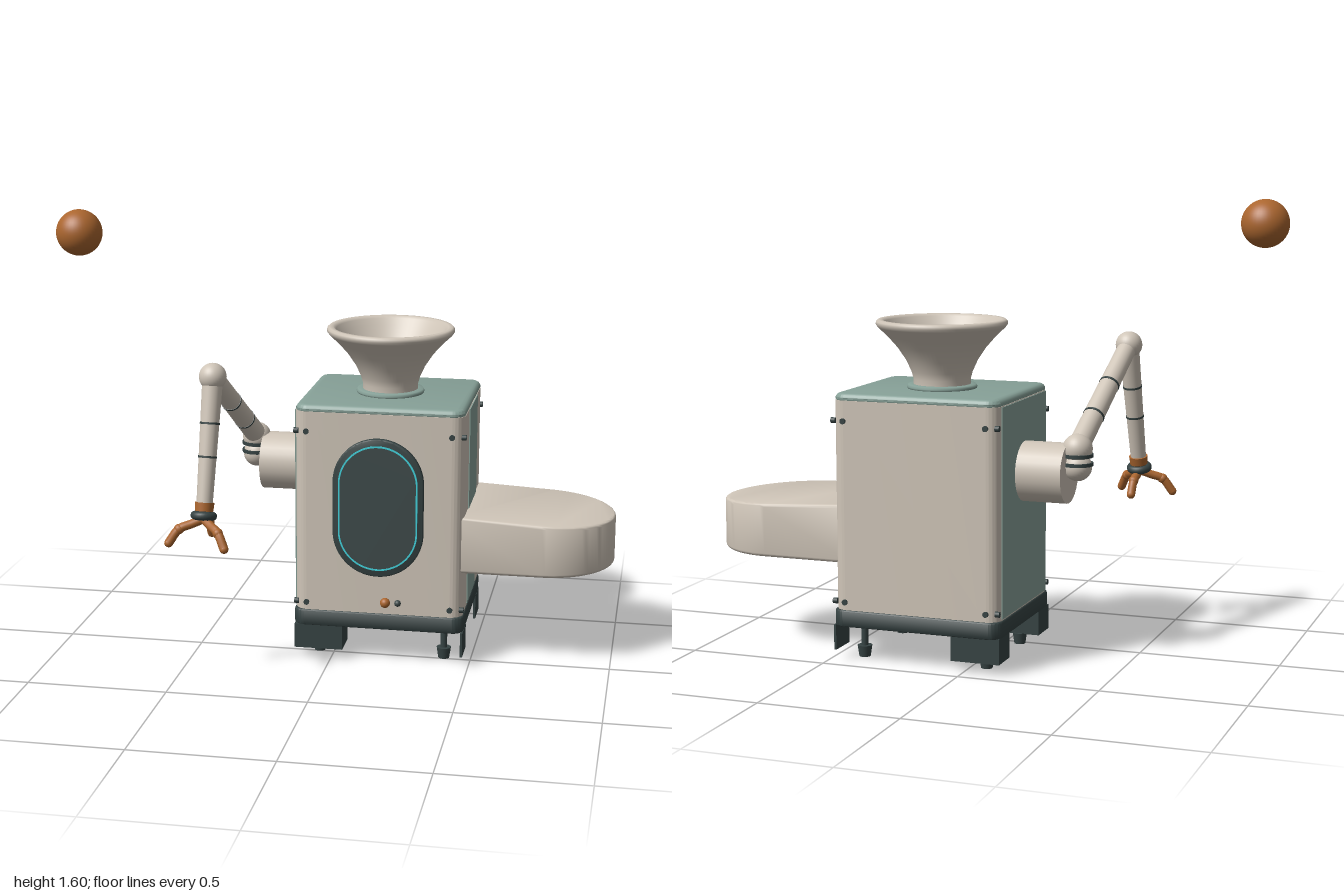
import * as THREE from 'three';
import { toCreasedNormals } from 'three/addons/utils/BufferGeometryUtils.js';

const material = (name, color, side = THREE.FrontSide) => {
  const m = new THREE.MeshStandardMaterial({ color, side });
  m.name = name;
  return m;
};

export function createModel() {
  const root = new THREE.Group();
  root.name = 'roboticMachine';
  const cream = material('cream', 0xcfc5b8, THREE.DoubleSide);
  const teal = material('sageTeal', 0x87a198);
  const dark = material('darkSlate', 0x364343);
  const glass = material('darkGlass', 0x3e4a4a);
  const brown = material('copperBrown', 0xab662f, THREE.DoubleSide);
  const cyan = material('cyan', 0x42d4de);

  const add = (name, geo, mat, x = 0, y = 0, z = 0, parent = root) => {
    const mesh = new THREE.Mesh(geo, mat);
    mesh.name = name;
    mesh.position.set(x, y, z);
    parent.add(mesh);
    return mesh;
  };
  const box = (name, w, h, d, mat, x, y, z) => add(name, new THREE.BoxGeometry(w, h, d), mat, x, y, z);

  // Rounded rectangle centred on the origin
  const roundRect = (w, h, r, Type = THREE.Shape) => {
    const s = new Type(), a = w / 2 - r, b = h / 2 - r;
    s.absarc(a, b, r, 0, Math.PI / 2);
    s.absarc(-a, b, r, Math.PI / 2, Math.PI);
    s.absarc(-a, -b, r, Math.PI, Math.PI * 1.5);
    s.absarc(a, -b, r, Math.PI * 1.5, Math.PI * 2);
    s.closePath();
    return s;
  };
  // Extrusion with the bevel kept inside the given outline and height
  const extrude = (shape, h, bevel = 0, up = true) => {
    const g = new THREE.ExtrudeGeometry(shape, {
      depth: h - 2 * bevel, bevelEnabled: bevel > 0, bevelSize: bevel, bevelThickness: bevel,
      bevelOffset: -bevel, bevelSegments: 4, curveSegments: 24,
    });
    g.translate(0, 0, bevel);
    if (up) g.rotateX(-Math.PI / 2);
    return toCreasedNormals(g, 0.6);
  };
  // Cylinder between two points
  const rod = (name, a, b, r0, r1, mat) => {
    const d = b.clone().sub(a);
    const m = add(name, new THREE.CylinderGeometry(r1, r0, d.length(), 28), mat);
    m.position.copy(a).add(b).multiplyScalar(0.5);
    m.quaternion.setFromUnitVectors(new THREE.Vector3(0, 1, 0), d.normalize());
    return m;
  };
  const V = (x, y, z) => new THREE.Vector3(x, y, z);
  const CX = 0.172, CZ = -0.19;

  // Cabinet
  add('cabinet', extrude(roundRect(0.605, 0.535, 0.045), 0.735), cream, CX, 0.183, CZ);
  add('cabinetTop', extrude(roundRect(0.605, 0.535, 0.045), 0.035, 0.02), teal, CX, 0.907, CZ);
  box('sidePanelRight', 0.006, 0.725, 0.46, teal, -0.131, 0.553, CZ);
  box('sideStripeLeft', 0.006, 0.725, 0.23, teal, 0.475, 0.555, -0.187);

  // Base, corner legs and feet
  add('base', extrude(roundRect(0.615, 0.547, 0.04), 0.06, 0.008), dark, CX, 0.125, CZ);
  for (const z of [0.025, -0.395]) {
    box('cornerLeg', 0.175, 0.09, 0.11, dark, -0.044, 0.083, z);
    box('legPlate', 0.008, 0.09, 0.11, dark, 0.475, 0.083, z);
  }
  for (const x of [-0.055, 0.402]) for (const z of [-0.015, -0.36]) {
    add('foot', new THREE.CylinderGeometry(0.026, 0.02, 0.04, 24), dark, x, 0.02, z);
    add('footStem', new THREE.CylinderGeometry(0.012, 0.012, 0.09, 16), dark, x, 0.08, z);
  }

  // Front window with glowing outline
  add('windowFrame', extrude(roundRect(0.325, 0.505, 0.162), 0.02, 0.005, false), dark, 0.173, 0.58, 0.075);
  add('windowGlass', extrude(roundRect(0.272, 0.445, 0.135), 0.002, 0, false), glass, 0.173, 0.58, 0.095);
  const ring = roundRect(0.284, 0.457, 0.142);
  ring.holes.push(roundRect(0.272, 0.445, 0.136, THREE.Path));
  add('windowGlow', extrude(ring, 0.003, 0, false), cyan, 0.173, 0.58, 0.095);

  // Front knobs
  add('knob', new THREE.SphereGeometry(0.018, 20, 14), brown, 0.2, 0.228, 0.083);
  add('button', new THREE.SphereGeometry(0.012, 16, 12), glass, 0.245, 0.228, 0.08);

  // Corner bolts on all four sides
  for (const y of [0.847, 0.213]) {
    for (const x of [-0.087, 0.432]) for (const z of [0.078, -0.458]) {
      add('bolt', new THREE.CylinderGeometry(0.01, 0.01, 0.014, 16), dark, x, y, z).rotation.x = Math.PI / 2;
    }
    for (const x of [-0.125, 0.473]) for (const z of [0.068, -0.445]) {
      add('sideBolt', new THREE.CylinderGeometry(0.01, 0.01, 0.016, 16), dark, x, y, z).rotation.z = Math.PI / 2;
    }
  }

  // Hopper: one hollow profile from the outer foot over the rim to the inner throat
  const profile = [[0.1, 0.945], [0.1, 0.975], [0.107, 1.0], [0.125, 1.04], [0.155, 1.085], [0.19, 1.125], [0.222, 1.155],
    [0.23, 1.166], [0.229, 1.176], [0.222, 1.182], [0.208, 1.182], [0.197, 1.174], [0.185, 1.15], [0.155, 1.11],
    [0.122, 1.06], [0.1, 1.015], [0.09, 0.98], [0.088, 0.945]];
  add('hopper', new THREE.LatheGeometry(profile.map(([x, y]) => new THREE.Vector2(x, y)), 64), cream, CX, 0, CZ);
  const collar = [[0.09, 0.94], [0.121, 0.94], [0.123, 0.948], [0.119, 0.956], [0.098, 0.957]];
  add('hopperCollar', new THREE.LatheGeometry(collar.map(([x, y]) => new THREE.Vector2(x, y)), 64), teal, CX, 0, CZ);

  // Tray: round-ended wall, flat bottom, rim sloping away from the cabinet
  const trayShape = (r, x0, Type = THREE.Shape) => {
    const s = new Type();
    s.moveTo(x0, -r);
    s.lineTo(0.75, -r);
    s.absarc(0.75, 0, r, -Math.PI / 2, Math.PI / 2);
    s.lineTo(x0, r);
    s.closePath();
    return s;
  };
  const slope = (g, from) => {
    const p = g.attributes.position;
    for (let i = 0; i < p.count; i++) if (p.getY(i) > from) p.setY(i, p.getY(i) - (p.getX(i) - 0.47) * 0.05);
    return g;
  };
  const wall = trayShape(0.247, 0.43);
  wall.holes.push(trayShape(0.207, 0.44, THREE.Path));
  add('trayWall', slope(extrude(wall, 0.205, 0.012), 0.1), cream, 0, 0.345, CZ);
  add('trayBottom', extrude(trayShape(0.236, 0.44), 0.008), cream, 0, 0.345, CZ);

  // Tray bowl: nested round-ended loops that sink towards the middle
  const pos = [], idx = [], rows = 14, cols = 34;
  for (let i = 0; i <= rows; i++) {
    const a = (i / rows) * Math.PI / 2;
    const r = 0.218 * Math.pow(Math.max(Math.cos(a), 0), 0.75), y = 0.53 - 0.14 * Math.sin(a);
    for (let j = 0; j <= cols; j++) {
      const t = ((j - 1) / (cols - 2)) * Math.PI - Math.PI / 2;
      if (j === 0) pos.push(0.45, y, -r);
      else if (j === cols) pos.push(0.45, y, r);
      else pos.push(0.75 + r * Math.cos(t), y, r * Math.sin(t));
      if (i < rows && j < cols) {
        const k = i * (cols + 1) + j, n = k + cols + 1;
        idx.push(k, k + 1, n, k + 1, n + 1, n);
      }
    }
  }
  const bowl = new THREE.BufferGeometry();
  bowl.setAttribute('position', new THREE.Float32BufferAttribute(pos, 3));
  bowl.setIndex(idx);
  slope(bowl, 0.45).computeVertexNormals();
  add('trayBowl', bowl, brown, 0, 0, CZ);

  // Arm mount and shoulder
  const shoulder = V(-0.325, 0.755, CZ), elbow = V(-0.38, 1.068, 0.243), wrist = V(-0.39, 0.635, 0.35);
  rod('armMount', V(-0.12, 0.665, CZ), V(-0.295, 0.665, CZ), 0.105, 0.105, cream);
  add('shoulderBall', new THREE.SphereGeometry(0.05, 32, 20), cream, -0.325, 0.69, CZ);
  for (const y of [0.7, 0.73]) add('shoulderRing', new THREE.CylinderGeometry(0.054, 0.054, 0.012, 32), dark, -0.325, y, CZ);
  add('shoulderCap', new THREE.SphereGeometry(0.052, 32, 20), cream, -0.325, 0.752, CZ);

  // Arm segments with dark seams
  const limb = (name, a, b, r0, r1, seams) => {
    rod(name, a, b, r0, r1, cream);
    for (const t of seams) {
      const r = r0 + (r1 - r0) * t + 0.0015;
      rod(name + 'Seam', a.clone().lerp(b, t - 0.008), a.clone().lerp(b, t + 0.008), r, r, dark);
    }
  };
  limb('upperArm', shoulder, elbow, 0.038, 0.034, [0.3, 0.6]);
  limb('forearm', elbow, wrist, 0.036, 0.028, [0.36, 0.62]);
  add('elbow', new THREE.SphereGeometry(0.048, 32, 20), cream, elbow.x, elbow.y, elbow.z);

  // Wrist and three curled fingers
  const axis = wrist.clone().sub(elbow).normalize();
  const along = (d) => wrist.clone().addScaledVector(axis, d);
  rod('wristCuff', along(-0.012), along(0.018), 0.034, 0.032, brown);
  const palm = along(0.034);
  const palmRing = add('palmRing', new THREE.TorusGeometry(0.031, 0.015, 14, 32), dark, palm.x, palm.y, palm.z);
  palmRing.quaternion.setFromUnitVectors(V(0, 0, 1), axis);
  rod('palm', along(0.015), along(0.05), 0.032, 0.025, dark);
  const base = along(0.045);
  for (const tip of [V(-0.505, 0.512, 0.405), V(-0.3, 0.512, 0.442), V(-0.385, 0.515, 0.27)]) {
    const knuckle = base.clone().lerp(tip, 0.7);
    knuckle.y += 0.024;
    const curve = new THREE.CatmullRomCurve3([base, base.clone().lerp(tip, 0.35).add(V(0, 0.012, 0)), knuckle, tip]);
    add('finger', new THREE.TubeGeometry(curve, 20, 0.0155, 12), brown);
    add('fingertip', new THREE.SphereGeometry(0.0155, 14, 10), brown, tip.x, tip.y, tip.z);
    add('fingerJoint', new THREE.SphereGeometry(0.018, 14, 10), brown, knuckle.x, knuckle.y, knuckle.z);
  }

  // Floating ball
  add('ball', new THREE.SphereGeometry(0.082, 40, 28), brown, -0.918, 1.52, 0.012);
  return root;
}
